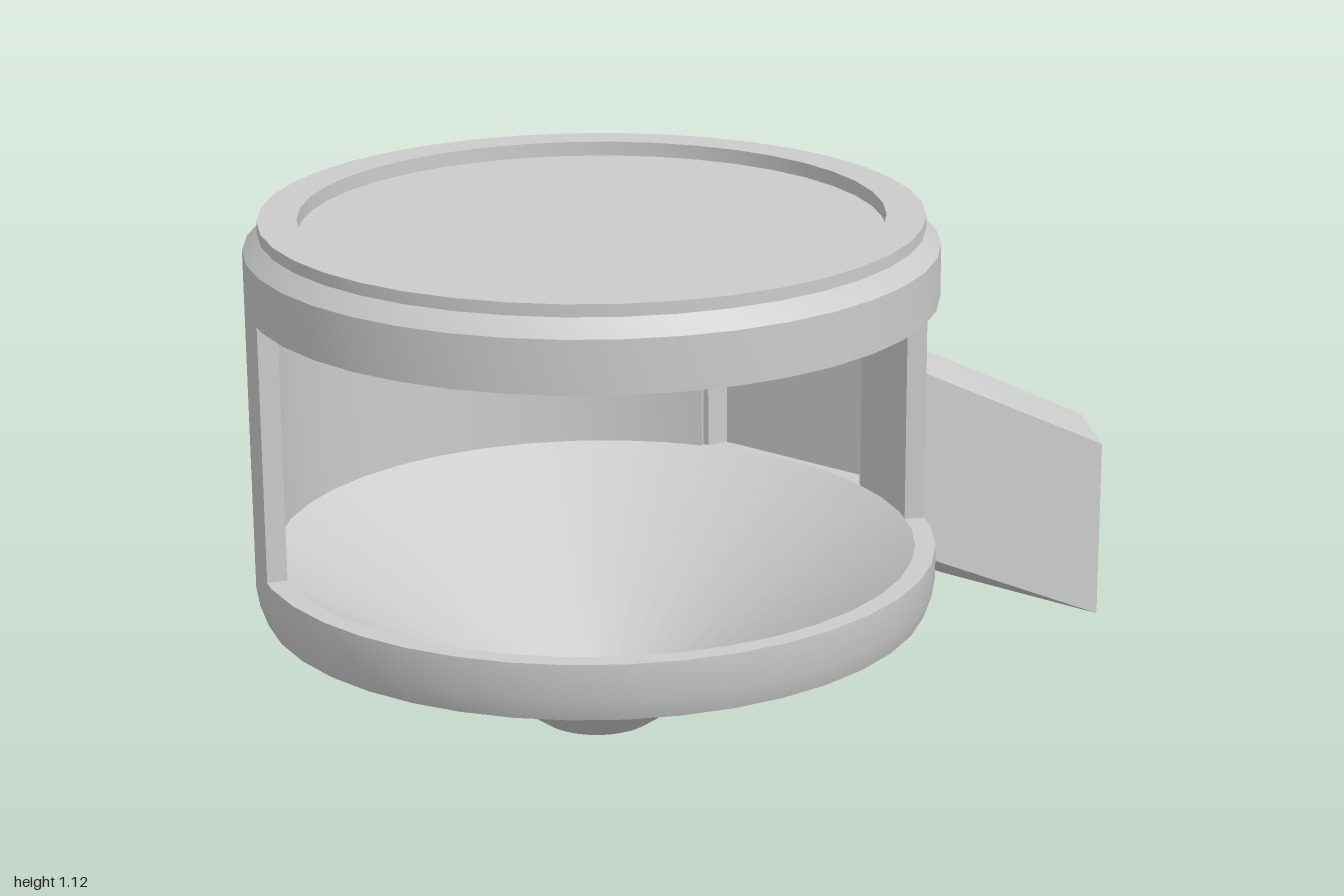
import * as THREE from 'three';
import { toCreasedNormals } from 'three/addons/utils/BufferGeometryUtils.js';

const SIDES = 40, CENTRE_Z = 0.38, R = 0.617, R_IN = 0.58;
const material = new THREE.MeshStandardMaterial({ color: 0xcccccc, side: THREE.DoubleSide });

function part(name, geometry) {
  const mesh = new THREE.Mesh(toCreasedNormals(geometry, 0.45), material);
  mesh.name = name;
  return mesh;
}

function lathe(profile) {
  return new THREE.LatheGeometry(profile.map(([r, y]) => new THREE.Vector2(r, y)), SIDES);
}

// Skin a list of equal-sized convex rings and cap both ends
function loft(rings) {
  const n = rings[0].length, index = [];
  for (let i = 0; i < rings.length - 1; i++) {
    for (let j = 0; j < n; j++) {
      const a = i * n + j, b = i * n + (j + 1) % n;
      index.push(a, b, b + n, a, b + n, a + n);
    }
  }
  const last = (rings.length - 1) * n;
  for (let j = 1; j < n - 1; j++) {
    index.push(0, j + 1, j, last, last + j, last + j + 1);
  }
  const geometry = new THREE.BufferGeometry();
  geometry.setAttribute('position', new THREE.Float32BufferAttribute(rings.flat(2), 3));
  geometry.setIndex(index);
  return geometry;
}

// Curved wall from 140 to 330 degrees, with an arched cut-out at the back
function wallGeometry() {
  const stations = [[140, 0.51]];
  const hole = (x) => THREE.MathUtils.radToDeg(Math.asin(x / 0.6));
  for (let a = 144; a < 330; a += 9) {
    const d = Math.abs(a - 180);
    const inChamfer = d > hole(0.145) && d < hole(0.2);
    if (!inChamfer) stations.push([a, d < hole(0.2) ? 0.825 : 0.51]);
  }
  for (const s of [-1, 1]) {
    stations.push([180 + s * (hole(0.2) + 0.01), 0.51], [180 + s * hole(0.2), 0.77], [180 + s * hole(0.145), 0.825]);
  }
  stations.push([330, 0.51]);
  stations.sort((p, q) => p[0] - q[0]);
  return loft(stations.map(([deg, bottom]) => {
    const a = THREE.MathUtils.degToRad(deg);
    // keep the wall on the same facets as the rims
    const step = Math.PI * 2 / SIDES;
    const local = a - (Math.floor(a / step + 1e-6) + 0.5) * step;
    const k = Math.cos(step / 2) / Math.cos(local);
    const at = (r, y) => [r * k * Math.sin(a), y, r * k * Math.cos(a)];
    return [at(R, bottom), at(R_IN, bottom), at(R_IN, 0.99), at(R, 0.99)];
  }));
}

// Sloping handle, with a shallow arched recess in its inner end
function handleGeometry() {
  const arch = (z, drop, inset, floor = 0.395) => {
    const w = 0.2 - inset, t = 0.145 - inset * 0.5;
    const c = 0.77 - drop - inset * 0.5, top = 0.825 - drop - inset, b = floor - drop;
    return [[-w, b, z], [w, b, z], [w, c, z], [t, top, z], [-t, top, z], [-w, c, z]];
  };
  return loft([
    arch(-1, 0.387, 0),
    arch(-0.2, 0, 0),
    arch(-0.175, 0, 0),
    arch(-0.175, 0, 0.016, 0.42),
    arch(-0.215, 0, 0.031, 0.42),
  ]);
}

export function createModel() {
  const group = new THREE.Group();
  const body = new THREE.Group();
  body.name = 'body';
  body.position.z = CENTRE_Z;

  // Funnel bowl with a rounded lower rim
  body.add(part('funnelBowl', lathe([
    [0, 0.175], [0.105, 0.175], [0.42, 0.395], [0.56, 0.395], [0.603, 0.41], [R, 0.45],
    [R, 0.515], [R_IN, 0.515], [0.1, 0.2], [0, 0.2],
  ])));

  // Lid with chamfered rim and recessed top
  body.add(part('lid', lathe([
    [0, 1.07], [R_IN, 1.07], [R_IN, 0.985], [R, 0.985], [R, 1.08], [0.59, 1.11],
    [0.59, 1.132], [0.52, 1.132], [0.52, 1.105], [0, 1.105],
  ])));

  body.add(part('wall', wallGeometry()));
  group.add(body, part('handle', handleGeometry()));
  return group;
}
